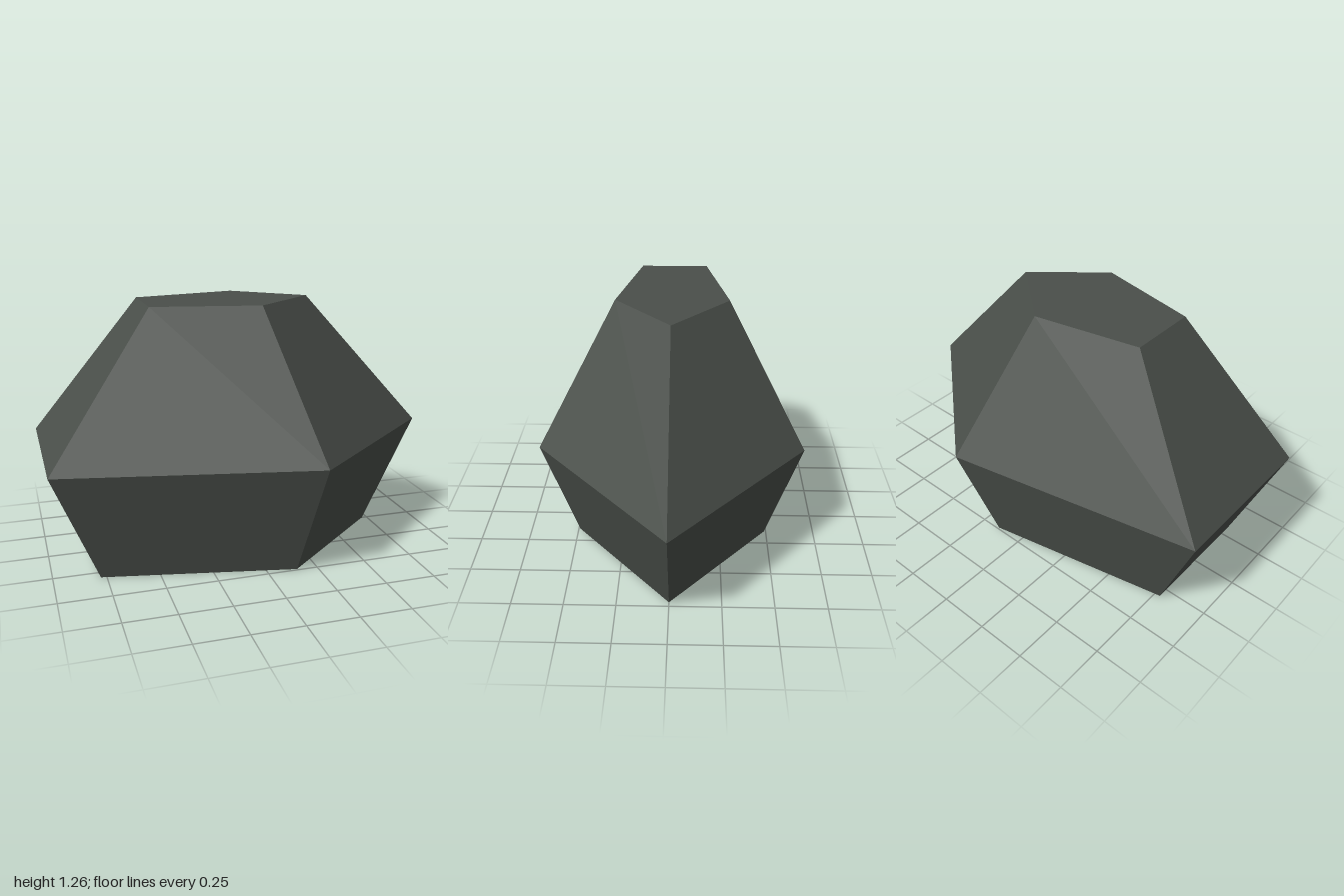
import * as THREE from 'three';

// Five-sided outline of the widest ring, as [x, z] from +x towards +z
const OUTLINE = [[1, 0], [0.235, 0.655], [-1, 0.403], [-1, -0.403], [0.235, -0.655]];

// Rings from the base to the top: height, scale of the outline, shift in x
const RINGS = [
  { y: 0, scale: 0.75, shift: -0.028 },
  { y: 0.557, scale: 1, shift: 0 },
  { y: 1.26, scale: 0.418, shift: -0.064 },
];

function rockGeometry() {
  const n = OUTLINE.length;
  const positions = [];
  const indices = [];
  for (const { y, scale, shift } of RINGS) {
    for (const [x, z] of OUTLINE) positions.push(x * scale + shift, y, z * scale);
  }

  // Side facets between neighbouring rings
  for (let r = 0; r < RINGS.length - 1; r++) {
    for (let i = 0; i < n; i++) {
      const a = r * n + i;
      const b = r * n + (i + 1) % n;
      indices.push(a, a + n, b + n, a, b + n, b);
    }
  }

  // Flat base and top
  const top = (RINGS.length - 1) * n;
  for (let i = 1; i < n - 1; i++) {
    indices.push(0, i, i + 1);
    indices.push(top, top + i + 1, top + i);
  }

  const indexed = new THREE.BufferGeometry();
  indexed.setAttribute('position', new THREE.Float32BufferAttribute(positions, 3));
  indexed.setIndex(indices);
  const geometry = indexed.toNonIndexed();
  geometry.computeVertexNormals();
  return geometry;
}

export function createModel() {
  const group = new THREE.Group();
  group.name = 'rock';

  const stone = new THREE.MeshStandardMaterial({ color: 0x4a4f4a, flatShading: true });
  stone.name = 'dark grey stone';

  const rock = new THREE.Mesh(rockGeometry(), stone);
  rock.name = 'boulder';
  group.add(rock);
  return group;
}
